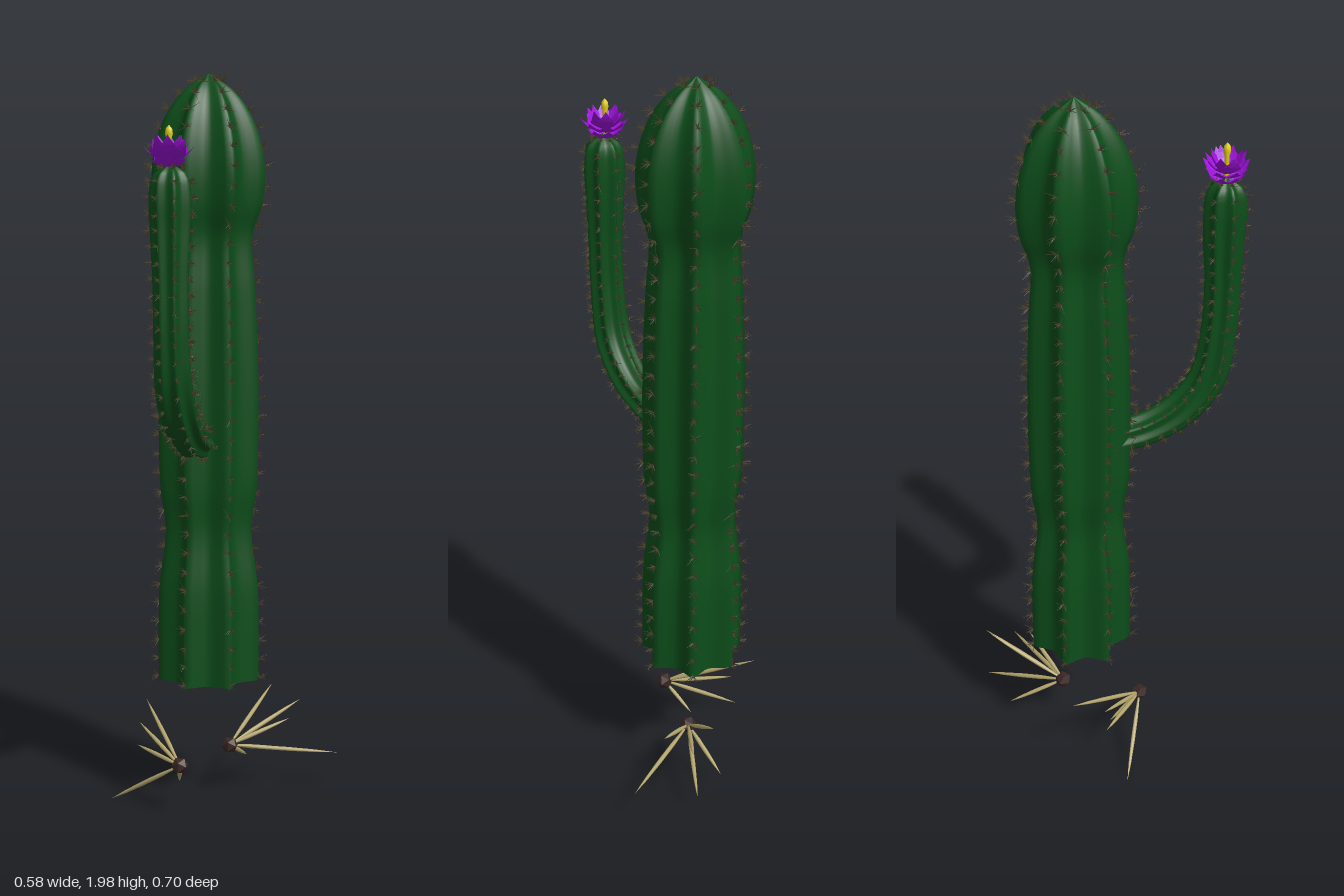
import * as THREE from 'three';
import { mergeGeometries } from 'three/addons/utils/BufferGeometryUtils.js';

const V = (x, y, z) => new THREE.Vector3(x, y, z);
const UP = V(0, 1, 0);
const mat = (color, extra = {}) => new THREE.MeshStandardMaterial({ color, ...extra });

// small seeded random, -1..1
let seed = 7;
const rnd = () => {
  seed = (seed * 16807) % 2147483647;
  return (seed / 2147483647) * 2 - 1;
};

function add(parent, name, geometry, material) {
  const mesh = new THREE.Mesh(geometry, material);
  mesh.name = name;
  parent.add(mesh);
  return mesh;
}

// A ribbed stem: the spine is a list of [radius, y, z] at a constant x.
class Stem {
  constructor(x, spine, phase, depth) {
    Object.assign(this, { x, phase, depth, ribs: 7 });
    this.curve = new THREE.CatmullRomCurve3(spine.map((p) => V(...p)));
    this.curve.arcLengthDivisions = 400;
  }

  // surface point and outward normal at length t and angle a
  at(t, a) {
    const p = this.curve.getPointAt(t);
    const d = this.curve.getTangentAt(t);
    const along = V(0, d.y, d.z).normalize();
    const side = V(1, 0, 0).cross(along);
    const radial = V(Math.cos(a + this.phase), 0, 0).addScaledVector(side, Math.sin(a + this.phase));
    const r = Math.max(p.x, 0) * (1 - this.depth * Math.abs(Math.sin((this.ribs * a) / 2)));
    const point = V(this.x, p.y, p.z).addScaledVector(radial, r);
    const normal = radial.multiplyScalar(Math.hypot(d.y, d.z)).addScaledVector(along, -d.x).normalize();
    return { point, normal };
  }

  geometry(rings) {
    const n = this.ribs * 8, pos = [], idx = [];
    const ring = (t) => {
      for (let j = 0; j < n; j++) pos.push(...this.at(t, (j / n) * Math.PI * 2).point);
    };
    for (let i = 0; i <= rings; i++) ring(i / rings);
    for (let i = 0; i < rings; i++) {
      for (let j = 0; j < n; j++) {
        const a = i * n + j, b = i * n + ((j + 1) % n);
        idx.push(a, a + n, b, b, a + n, b + n);
      }
    }
    // flat cap at the start
    const first = pos.length / 3;
    ring(0);
    const p = this.curve.getPointAt(0);
    pos.push(this.x, p.y, p.z);
    for (let j = 0; j < n; j++) idx.push(first + n, first + j, first + ((j + 1) % n));
    const g = new THREE.BufferGeometry();
    g.setAttribute('position', new THREE.Float32BufferAttribute(pos, 3));
    g.setIndex(idx);
    g.computeVertexNormals();
    return g;
  }

  // tufts of fine hairs down every rib
  hairs(rows, count, length) {
    const hair = new THREE.ConeGeometry(0.0015, 1, 3, 1, true).translate(0, 0.5, 0);
    const parts = [];
    for (let k = 0; k < this.ribs; k++) {
      for (let i = 0; i < rows; i++) {
        const { point, normal } = this.at((i + 0.2) / rows, (k / this.ribs) * Math.PI * 2);
        for (let h = 0; h < count; h++) {
          const dir = normal.clone().add(V(rnd(), rnd(), rnd())).normalize();
          const q = new THREE.Quaternion().setFromUnitVectors(UP, dir);
          const scale = V(1, length * (0.8 + 0.3 * rnd()), 1);
          parts.push(hair.clone().applyMatrix4(new THREE.Matrix4().compose(point, q, scale)));
        }
      }
    }
    return mergeGeometries(parts);
  }
}

// pointed petal running out along +z, cupped and rising to its tip
function petal(reach, rise, width) {
  const g = new THREE.PlaneGeometry(1, 1, 2, 5);
  const p = g.attributes.position;
  for (let i = 0; i < p.count; i++) {
    const u = p.getX(i) * 2, v = p.getY(i) + 0.5;
    const w = width * (v < 0.6 ? 0.45 + 0.92 * v : (1 - v) * 2.5);
    p.setXYZ(i, u * w, rise * v * v + 0.006 * Math.abs(u) * (1 - v), 0.008 + (reach - 0.008) * v);
  }
  return g;
}

export function createModel() {
  const group = new THREE.Group();
  const green = mat(0x0d4d1a);
  const hairMat = mat(0x4f432e, { side: THREE.DoubleSide });

  // trunk
  const tz = -0.095;
  const trunk = new Stem(-0.035, [
    [0.14, 0.34, tz], [0.14, 0.45, tz], [0.137, 0.6, tz], [0.119, 0.76, tz],
    [0.133, 0.87, tz], [0.137, 1.0, tz], [0.136, 1.2, tz], [0.128, 1.4, tz],
    [0.12, 1.55, tz], [0.145, 1.63, tz], [0.153, 1.71, tz], [0.143, 1.79, tz],
    [0.112, 1.87, tz], [0.065, 1.93, tz], [0, 1.972, tz],
  ], 0, 0.27);
  add(group, 'trunk', trunk.geometry(90), green);
  add(group, 'trunkHairs', trunk.hairs(33, 14, 0.03), hairMat);

  // side arm
  const arm = new Stem(-0.035, [
    [0.046, 1.01, -0.05], [0.046, 1.01, 0.02], [0.047, 1.03, 0.1], [0.05, 1.08, 0.18],
    [0.05, 1.17, 0.245], [0.047, 1.3, 0.27], [0.047, 1.45, 0.277], [0.053, 1.58, 0.276],
    [0.055, 1.66, 0.277], [0.045, 1.71, 0.277], [0, 1.74, 0.277],
  ], -Math.PI / 2, 0.25);
  add(group, 'arm', arm.geometry(60), green);
  add(group, 'armHairs', arm.hairs(24, 12, 0.021), hairMat);

  // flower on the arm
  const flower = new THREE.Group();
  flower.name = 'flower';
  flower.position.set(-0.04, 1.728, 0.275);
  group.add(flower);
  const petalMat = mat(0xa012dd, { flatShading: true, side: THREE.DoubleSide });
  [[0.05, 0.03, 0], [0.063, 0.036, 0.016], [0.055, 0.045, 0.026], [0.042, 0.048, 0.032]].forEach(([reach, rise, y], layer) => {
    const ring = [];
    for (let k = 0; k < 8; k++) {
      ring.push(petal(reach, rise, 0.02).rotateY(((k + (layer % 2 ? 0.25 : 0.4)) * Math.PI) / 4));
    }
    add(flower, 'petals', mergeGeometries(ring), petalMat).position.y = y;
  });
  const pistil = [[0, 0.01], [0.006, 0.01], [0.006, 0.07], [0.01, 0.082], [0.008, 0.095], [0, 0.104]];
  add(flower, 'pistil', new THREE.LatheGeometry(pistil.map((p) => new THREE.Vector2(...p)), 10), mat(0xe0cc10));

  // loose thorn clusters below the trunk
  const knobMat = mat(0x3a2623, { flatShading: true });
  const thornMat = mat(0xb9aa70);
  const thornShape = new THREE.LatheGeometry(
    [[0.002, 0], [0.006, 0.3], [0.006, 0.55], [0.004, 0.8], [0, 1]].map((p) => new THREE.Vector2(...p)), 6);
  const clusters = [
    [V(-0.073, 0.135, 0.07), [
      [-0.29, 0, 0], [-0.23, 0.25, -0.145], [-0.225, 0.21, -0.055],
      [-0.23, 0.145, -0.05], [-0.1, 0.06, -0.02],
    ]],
    [V(0.013, 0.135, -0.14), [
      [0.295, 0.1, -0.255], [0.17, 0.22, -0.35], [0.09, 0.265, -0.337],
      [0.025, 0.06, -0.297], [0.15, 0.07, -0.345], [0.165, 0.2, -0.22],
    ]],
  ];
  for (const [base, tips] of clusters) {
    const cluster = new THREE.Group();
    cluster.name = 'thornCluster';
    cluster.position.copy(base);
    group.add(cluster);
    add(cluster, 'knob', new THREE.IcosahedronGeometry(0.024, 0), knobMat);
    for (const tip of tips) {
      const dir = V(...tip).sub(base);
      const thorn = add(cluster, 'thorn', thornShape, thornMat);
      thorn.scale.y = dir.length();
      thorn.quaternion.setFromUnitVectors(UP, dir.normalize());
    }
  }
  return group;
}
